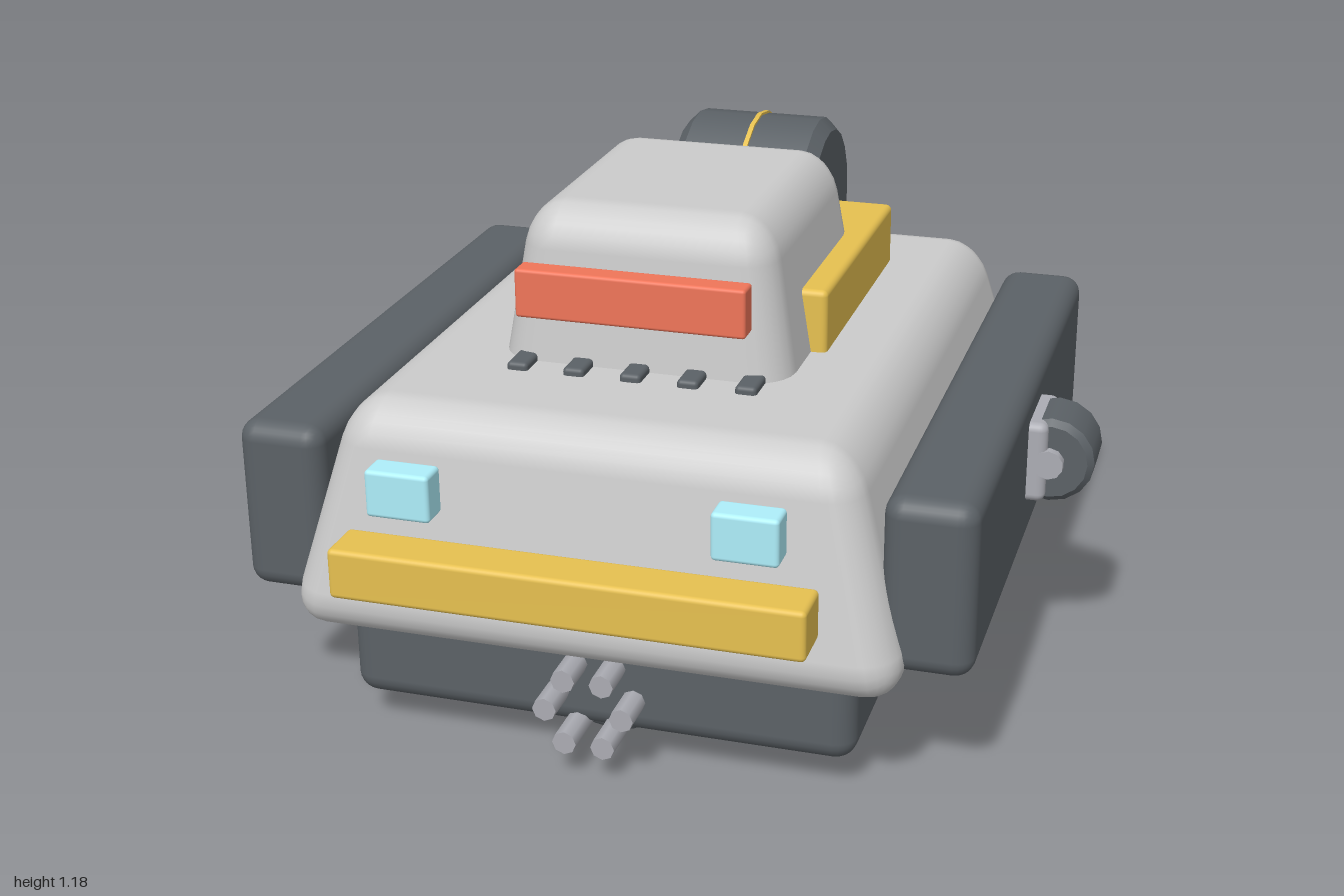
import * as THREE from 'three';
import { RoundedBoxGeometry } from 'three/addons/geometries/RoundedBoxGeometry.js';

const CX = -0.077; // centre line of the vehicle
const mat = (color) => new THREE.MeshStandardMaterial({ color });

// Narrow a rounded box towards its top, keeping smooth normals.
function taper(geo, height, kx, kz) {
  const p = geo.attributes.position, n = geo.attributes.normal;
  const v = new THREE.Vector3();
  for (let i = 0; i < p.count; i++) {
    const x = p.getX(i), y = p.getY(i), z = p.getZ(i);
    const h = y + height / 2, sx = 1 - kx * h, sz = 1 - kz * h;
    v.set(n.getX(i) / sx, n.getY(i) + n.getX(i) * x * kx / sx + n.getZ(i) * z * kz / sz, n.getZ(i) / sz).normalize();
    p.setXYZ(i, x * sx, y, z * sz);
    n.setXYZ(i, v.x, v.y, v.z);
  }
  return geo;
}

export function createModel() {
  const group = new THREE.Group();
  const grey = mat(0xcccccc), dark = mat(0x5b6166), steel = mat(0xabacb3);
  const yellow = mat(0xe6c050), red = mat(0xef7559), cyan = mat(0xaeeefa);

  const add = (name, geo, material, x = 0, y = 0, z = 0) => {
    const mesh = new THREE.Mesh(geo, material);
    mesh.name = name;
    mesh.position.set(x, y, z);
    group.add(mesh);
    return mesh;
  };
  // Rounded box given by its extents on each axis, with optional taper.
  const box = (name, material, [x0, x1], [y0, y1], [z0, z1], r, kx = 0, kz = 0) => {
    const geo = new RoundedBoxGeometry(x1 - x0, y1 - y0, z1 - z0, 3, r);
    if (kx || kz) taper(geo, y1 - y0, kx, kz);
    return add(name, geo, material, (x0 + x1) / 2, (y0 + y1) / 2, (z0 + z1) / 2);
  };
  // Chamfered drum about the y axis.
  const drum = (radius, length, chamfer, sides) => {
    const h = length / 2, r = radius - chamfer;
    const pts = [[0, -h], [r, -h], [radius, -h + chamfer], [radius, h - chamfer], [r, h], [0, h]];
    // Doubled profile points keep the rims crisp
    const profile = pts.flatMap(([a, b]) => [new THREE.Vector2(a, b), new THREE.Vector2(a, b)]).slice(1, -1);
    const geo = new THREE.BufferGeometry();
    const lathe = new THREE.LatheGeometry(new THREE.SplineCurve().points.concat(profile), sides);
    geo.copy(lathe);
    return geo;
  };
  const span = (c, half) => [c - half, c + half];

  // Body
  box('hull', grey, span(CX, 0.725), [0.28, 0.82], [-0.875, 0.905], 0.1, 0.385, 0.22);
  box('chassis', dark, span(CX, 0.595), [0.08, 0.34], [-0.76, 0.795], 0.05);
  for (const s of [-1, 1])
    box(s > 0 ? 'leftTrackPod' : 'rightTrackPod', dark, span(CX + s * 0.745, 0.103), [0.325, 0.735], [-0.76, 0.795], 0.045);
  box('cabin', grey, span(CX, 0.365), [0.7, 1.18], [-0.325, 0.465], 0.1, 0.45, 0.3);

  // Windscreen and the row of vents below it
  box('windscreen', red, [-0.35, 0.19], [0.945, 1.06], [0.45, 0.51], 0.008);
  for (let i = -2; i <= 2; i++)
    box('vent', dark, span(CX + i * 0.135, 0.025), [0.8, 0.838], [0.42, 0.52], 0.01);

  // Front lights and bumper
  for (const s of [-1, 1])
    box('headlight', cyan, span(CX + s * 0.388, 0.074), [0.62, 0.73], [0.875, 0.948], 0.01);
  box('bumper', yellow, [-0.615, 0.457], [0.437, 0.555], [0.88, 1.0], 0.012);

  // Side locker and rear box
  box('sideLocker', yellow, [0.13, 0.305], [0.8, 0.97], [-0.49, 0.22], 0.015);
  box('rearBox', steel, [-0.225, 0.068], [0.317, 0.492], [-1.0, -0.78], 0.018);

  // Rear drum with its thin band
  add('rearDrum', drum(0.234, 0.385, 0.03, 20), dark, CX, 0.916, -0.588).rotation.z = Math.PI / 2;
  add('drumBand', new THREE.CylinderGeometry(0.24, 0.24, 0.012, 20), yellow, CX, 0.916, -0.588).rotation.z = Math.PI / 2;

  // Barrel cluster under the nose
  const cy = 0.167;
  for (let i = 0; i < 6; i++) {
    const a = i * Math.PI / 3;
    add('barrel', new THREE.CylinderGeometry(0.028, 0.028, 1.0, 8), steel,
      CX + 0.09 * Math.cos(a), cy + 0.09 * Math.sin(a), 0.385).rotation.x = Math.PI / 2;
  }
  add('barrelRing', new THREE.TorusGeometry(0.13, 0.035, 8, 20), dark, CX, cy, 0.645);
  add('barrelHousing', drum(0.147, 0.36, 0.025, 16), dark, CX, cy, -0.16).rotation.x = Math.PI / 2;

  // Side wheel with its mounting plate and axle
  box('wheelMount', steel, [0.74, 0.815], [0.455, 0.655], [-0.09, 0.12], 0.02);
  add('sideWheel', drum(0.105, 0.165, 0.015, 16), dark, 0.82, 0.555, 0.015).rotation.x = Math.PI / 2;
  add('wheelAxle', new THREE.CylinderGeometry(0.036, 0.036, 0.21, 10), steel, 0.82, 0.555, 0.015).rotation.x = Math.PI / 2;

  return group;
}
